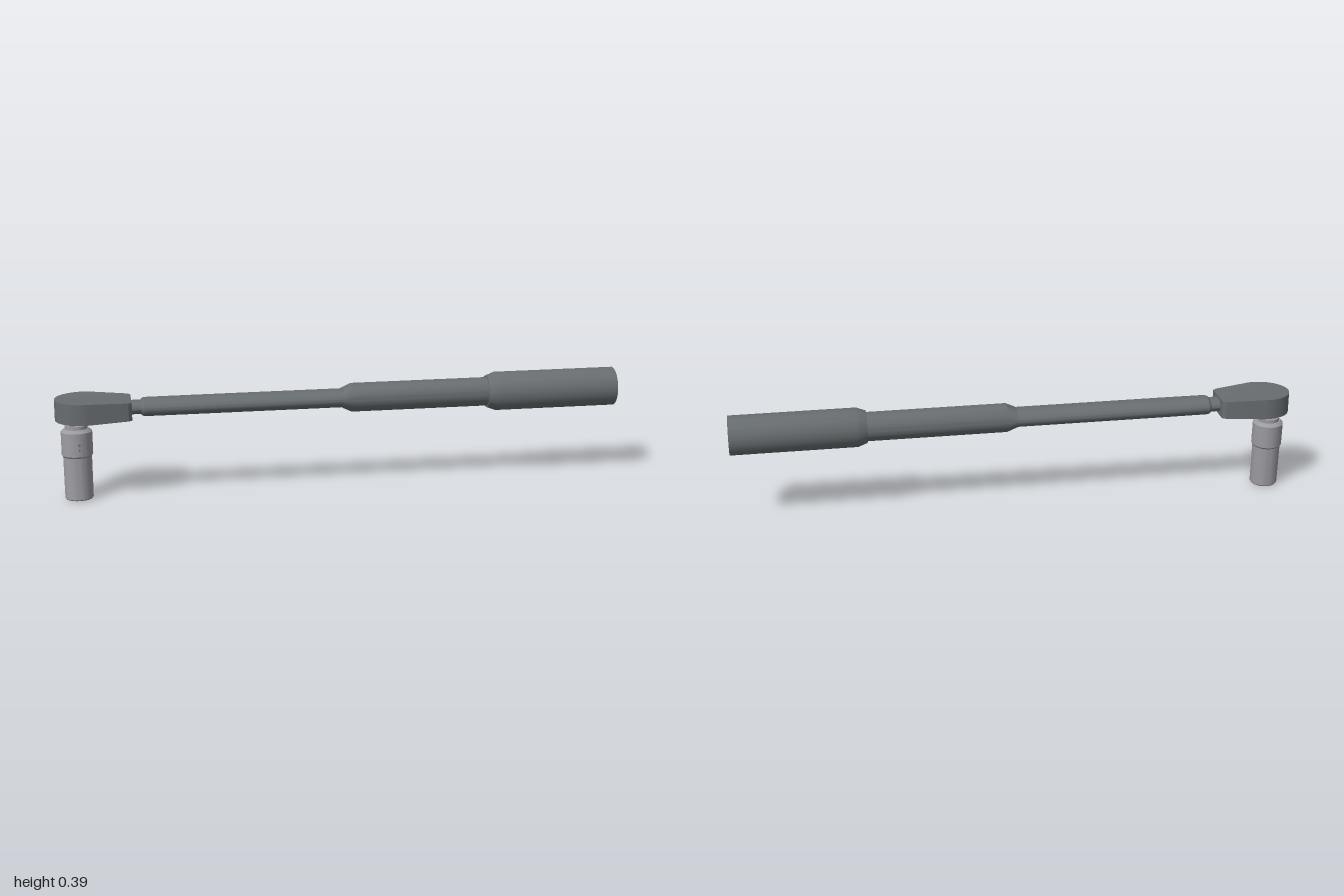
import * as THREE from 'three';
import { toCreasedNormals } from 'three/addons/utils/BufferGeometryUtils.js';

const AXIS_Y = 0.322; // height of the handle axis

// Loft of ellipses along x; each section is [x, radiusY, radiusZ].
function loft(sections, sides = 40) {
  const pos = [], index = [];
  sections.forEach(([x, ry, rz]) => {
    for (let j = 0; j < sides; j++) {
      const a = (j / sides) * Math.PI * 2;
      pos.push(x, AXIS_Y + ry * Math.cos(a), rz * Math.sin(a));
    }
  });
  for (let i = 0; i < sections.length - 1; i++) {
    for (let j = 0; j < sides; j++) {
      const k = (j + 1) % sides;
      const a = i * sides + j, b = i * sides + k;
      index.push(a, b, a + sides, b, b + sides, a + sides);
    }
  }
  const geo = new THREE.BufferGeometry();
  geo.setAttribute('position', new THREE.Float32BufferAttribute(pos, 3));
  geo.setIndex(index);
  return toCreasedNormals(geo, 0.35);
}

// Pear-shaped ratchet head whose top slopes down towards the handle.
function headGeometry() {
  const top = 0.361, height = 0.073, end = 1.4;
  const shape = new THREE.Shape();
  shape.moveTo(-0.738, -0.06);
  shape.lineTo(-0.738, 0.06);
  shape.lineTo(-0.75, 0.069);
  shape.absellipse(-0.9, 0, 0.1, 0.093, end, Math.PI * 2 - end, false);
  shape.lineTo(-0.75, -0.069);
  shape.closePath();
  const geo = new THREE.ExtrudeGeometry(shape, { depth: height, bevelEnabled: false, curveSegments: 28 });
  geo.rotateX(Math.PI / 2).translate(0, top, 0);
  const p = geo.attributes.position;
  for (let i = 0; i < p.count; i++) {
    const t = Math.max(0, (p.getX(i) + 0.88) / 0.14);
    if (p.getY(i) > AXIS_Y) p.setY(i, p.getY(i) - 0.008 * t);
    else p.setY(i, p.getY(i) + 0.002 * t);
  }
  return toCreasedNormals(geo, 0.4);
}

function lathe(points, sides = 32) {
  const geo = new THREE.LatheGeometry(points.map(([r, y]) => new THREE.Vector2(r, y)), sides);
  return toCreasedNormals(geo, 0.35);
}

export function createModel() {
  const steel = new THREE.MeshStandardMaterial({ color: 0x686d70 });
  steel.name = 'dark steel';
  const chrome = new THREE.MeshStandardMaterial({ color: 0x9b9ba1, side: THREE.DoubleSide });
  chrome.name = 'light chrome';

  const model = new THREE.Group();
  model.name = 'ratchetWrench';
  const add = (parent, name, geo, mat) => {
    const mesh = new THREE.Mesh(geo, mat);
    mesh.name = name;
    parent.add(mesh);
    return mesh;
  };

  // Head with the round selector plate underneath
  add(model, 'head', headGeometry(), steel);
  const plate = add(model, 'selectorPlate', new THREE.CylinderGeometry(0.036, 0.036, 0.006, 24), steel);
  plate.position.set(-0.81, 0.287, 0);

  // Neck, flattened bar and two stepped grips
  add(model, 'neck', loft([[-0.75, 0.024, 0.038], [-0.695, 0.024, 0.038]]), steel);
  add(model, 'bar', loft([
    [-0.705, 0, 0], [-0.705, 0.026, 0.042], [-0.695, 0.032, 0.05],
    [-0.52, 0.032, 0.052], [0.01, 0.032, 0.052],
  ]), steel);
  add(model, 'middleGrip', loft([
    [0, 0, 0], [0, 0.034, 0.052], [0.035, 0.051, 0.052], [0.54, 0.051, 0.052],
  ]), steel);
  add(model, 'endGrip', loft([
    [0.527, 0, 0], [0.527, 0.057, 0.057], [0.56, 0.069, 0.069], [1, 0.069, 0.069], [1, 0, 0],
  ]), steel);

  // Slightly tilted socket, hollow at the bottom
  const socket = new THREE.Group();
  socket.name = 'socket';
  socket.position.set(-0.929, 0.003, 0);
  socket.rotation.x = -0.041;
  model.add(socket);
  add(socket, 'socketBody', lathe([
    [0.04, 0.002], [0.046, 0], [0.049, 0.004], [0.0495, 0.152], [0.054, 0.158],
    [0.054, 0.24], [0.043, 0.25], [0.039, 0.25], [0.039, 0.262], [0, 0.262],
  ]), chrome);

  // Six-sided bore with a closed floor
  add(socket, 'socketBore', new THREE.CylinderGeometry(0.041, 0.041, 0.1, 6, 1, true)
    .translate(0, 0.052, 0).toNonIndexed(), chrome).geometry.computeVertexNormals();
  const floor = add(socket, 'boreFloor', new THREE.CircleGeometry(0.045, 24), chrome);
  floor.rotation.x = Math.PI / 2;
  floor.position.y = 0.1;

  // Square drive joining socket and head
  const drive = add(socket, 'drive', new THREE.BoxGeometry(0.044, 0.05, 0.044), steel);
  drive.position.y = 0.28;

  // Small detent dents on the front of the socket
  [0.182, 0.2].forEach((y) => {
    const dent = add(socket, 'detentMark', new THREE.BoxGeometry(0.006, 0.008, 0.004), steel);
    dent.position.set(0.008, y, 0.053);
  });

  return model;
}
